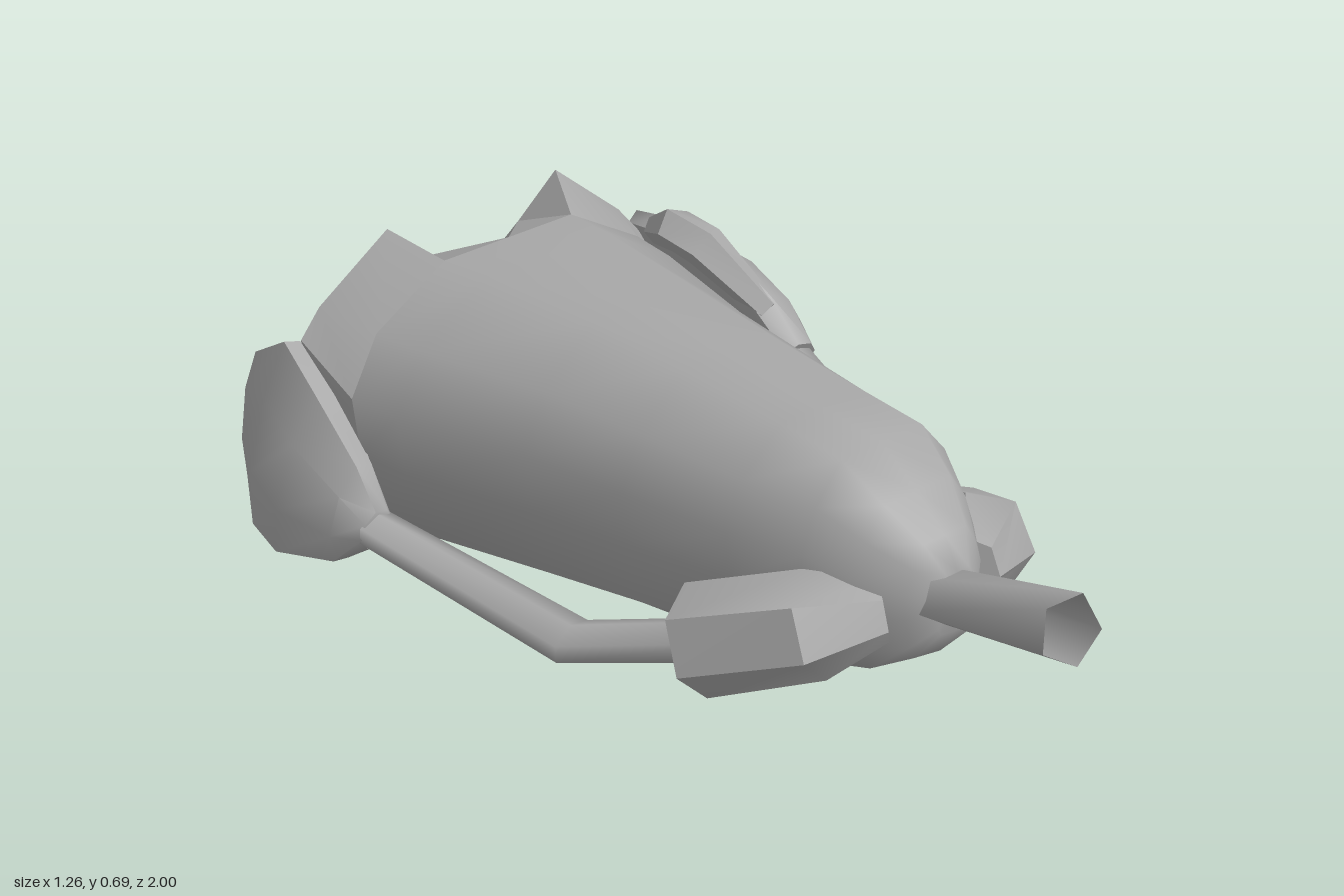
import * as THREE from 'three';
import { toCreasedNormals } from 'three/addons/utils/BufferGeometryUtils.js';

const V = (x, y, z) => new THREE.Vector3(x, y, z);

// Skin a list of closed rings, optionally capping the two ends
function loft(rings, caps, crease) {
  const n = rings[0].length;
  const pos = rings.flat().flatMap(p => [p.x, p.y, p.z]);
  const index = [];
  for (let i = 0; i < rings.length - 1; i++) {
    for (let j = 0; j < n; j++) {
      const a = i * n + j, b = i * n + (j + 1) % n;
      index.push(a, a + n, b + n, a, b + n, b);
    }
  }
  const last = (rings.length - 1) * n;
  for (let j = 1; j < n - 1; j++) {
    if (caps[0]) index.push(0, j, j + 1);
    if (caps[1]) index.push(last, last + j + 1, last + j);
  }
  const g = new THREE.BufferGeometry();
  g.setAttribute('position', new THREE.Float32BufferAttribute(pos, 3));
  g.setIndex(index);
  return toCreasedNormals(g, crease);
}

// Elliptical tube through stations [x, y, z, half width, half height]
function limb(stations, sides, roll = 0, caps = [true, true], crease = 0.8) {
  const c = stations.map(s => V(s[0], s[1], s[2]));
  const rings = stations.map((s, i) => {
    const t = c[Math.min(i + 1, c.length - 1)].clone().sub(c[Math.max(i - 1, 0)]).normalize();
    const side = t.clone().cross(V(0, 1, 0)).normalize();
    const up = side.clone().cross(t);
    const u = side.clone().multiplyScalar(Math.cos(roll)).addScaledVector(up, Math.sin(roll));
    const v = up.clone().multiplyScalar(Math.cos(roll)).addScaledVector(side, -Math.sin(roll));
    return Array.from({ length: sides }, (_, j) => {
      const a = (j + 0.5) / sides * Math.PI * 2;
      return c[i].clone().addScaledVector(u, Math.cos(a) * s[3]).addScaledVector(v, Math.sin(a) * s[4]);
    });
  });
  return loft(rings, caps, crease);
}

export function createModel() {
  const group = new THREE.Group();
  const grey = new THREE.MeshStandardMaterial({ color: 0xa9a9a9, side: THREE.DoubleSide });
  grey.name = 'grey';
  const add = (name, geometry) => {
    const m = new THREE.Mesh(geometry, grey);
    m.name = name;
    group.add(m);
  };

  // Half outline of the body, from top centre to bottom centre,
  // with a flat strip along the back and another along the belly
  const half = ([z, w, top, low, cx], s = 1) => {
    const back = Math.max(0.4 * w, Math.min(0.55 * w, 0.1));
    const belly = Math.min(0.7 * w, 0.145);
    return [[0, 1], [back, 1], [0.83 * w, 0.83], [w, 0.63], [0.97 * w, 0.42], [0.83 * w, 0.16], [belly, 0.05], [0, 0]]
      .map(([x, y]) => V(cx + s * x, low + y * (top - low), z));
  };
  const bodyRing = r => [...half(r), ...half(r, -1).slice(1, -1).reverse()];

  // Body: z, half width, top, bottom, centre x
  const rear = [-0.71, 0.41, 0.64, 0.008, 0];
  const stations = [
    rear,
    [-0.58, 0.39, 0.65, 0, 0],
    [-0.27, 0.305, 0.66, 0.035, 0],
    [0, 0.27, 0.665, 0.1, -0.01],
    [0.27, 0.235, 0.665, 0.175, -0.015],
    [0.44, 0.195, 0.665, 0.22, -0.02],
    [0.54, 0.15, 0.61, 0.25, -0.025],
    [0.62, 0.095, 0.555, 0.305, -0.03],
    [0.66, 0.05, 0.5, 0.37, -0.035],
  ];
  add('body', loft(stations.map(bodyRing), [false, true], 1.1));

  // Open, flared leg hems behind the body
  const hems = {
    left: [[0.14, 0.575, -0.865], [0.21, 0.69, -0.82], [0.37, 0.55, -0.81], [0.435, 0.47, -0.81], [0.41, 0.32, -0.85],
      [0.34, 0.11, -0.89], [0.16, 0.02, -0.91], [0.045, 0.06, -0.95], [0.06, 0.45, -0.92]],
    right: [[-0.12, 0.56, -0.89], [-0.185, 0.655, -0.88], [-0.37, 0.54, -0.87], [-0.42, 0.48, -0.87], [-0.4, 0.32, -0.88],
      [-0.32, 0.09, -0.9], [-0.15, 0.02, -0.91], [-0.04, 0.06, -0.92], [-0.035, 0.45, -0.91]],
  };
  for (const [name, hem] of Object.entries(hems)) {
    const start = [...half(rear, name === 'left' ? 1 : -1), V(0, 0.33, -0.73)];
    add(name + 'LegOpening', loft([hem.map(p => V(...p)), start], [false, false], 0.6));
  }

  // Hollow five-sided neck tube
  add('neckTube', limb([[-0.05, 0.43, 0.6, 0.054, 0.054], [-0.077, 0.55, 0.977, 0.072, 0.068]], 5, 0.3, [false, false], 1.5));

  // Sleeves
  add('leftSleeve', limb([[0.1, 0.41, 0.57, 0.05, 0.06], [0.19, 0.395, 0.51, 0.095, 0.105], [0.295, 0.28, 0.305, 0.1, 0.11]],
    6, 0.35, [true, false]));
  add('rightSleeve', limb([[-0.13, 0.41, 0.57, 0.05, 0.06], [-0.235, 0.39, 0.5, 0.112, 0.105], [-0.335, 0.29, 0.285, 0.102, 0.11]],
    6, -0.35, [true, false]));

  // Arms, bent at the elbow
  add('leftArm', limb([[0.25, 0.3, 0.38, 0.058, 0.04], [0.40, 0.19, 0.11, 0.063, 0.036], [0.485, 0.325, -0.39, 0.052, 0.038]],
    6, 0, [true, true], 1.3));
  add('rightArm', limb([[-0.29, 0.31, 0.36, 0.058, 0.04], [-0.43, 0.2, 0.03, 0.063, 0.036], [-0.54, 0.27, -0.46, 0.048, 0.036]],
    6, 0, [true, true], 1.3));

  // Flat mitten hands: x, y, z, thickness, half length
  add('leftHand', limb([
    [0.5, 0.32, -0.37, 0.045, 0.05], [0.51, 0.36, -0.45, 0.058, 0.115], [0.52, 0.375, -0.57, 0.066, 0.18],
    [0.51, 0.395, -0.76, 0.058, 0.16], [0.495, 0.41, -0.85, 0.045, 0.11], [0.485, 0.38, -0.91, 0.02, 0.035],
  ], 8, 0.55));
  add('leftThumb', limb([
    [0.47, 0.42, -0.43, 0.03, 0.03], [0.41, 0.54, -0.57, 0.05, 0.05],
    [0.39, 0.56, -0.64, 0.045, 0.05], [0.43, 0.5, -0.76, 0.025, 0.03],
  ], 5));
  add('rightHand', limb([
    [-0.54, 0.27, -0.45, 0.04, 0.045], [-0.55, 0.28, -0.52, 0.052, 0.12], [-0.56, 0.305, -0.67, 0.056, 0.205],
    [-0.54, 0.335, -0.8, 0.046, 0.23], [-0.51, 0.32, -0.92, 0.03, 0.14], [-0.48, 0.28, -0.985, 0.015, 0.05],
  ], 8, -0.22));
  add('rightThumb', limb([
    [-0.53, 0.28, -0.47, 0.028, 0.028], [-0.505, 0.34, -0.58, 0.04, 0.045], [-0.48, 0.38, -0.72, 0.02, 0.025],
  ], 5));

  return group;
}
